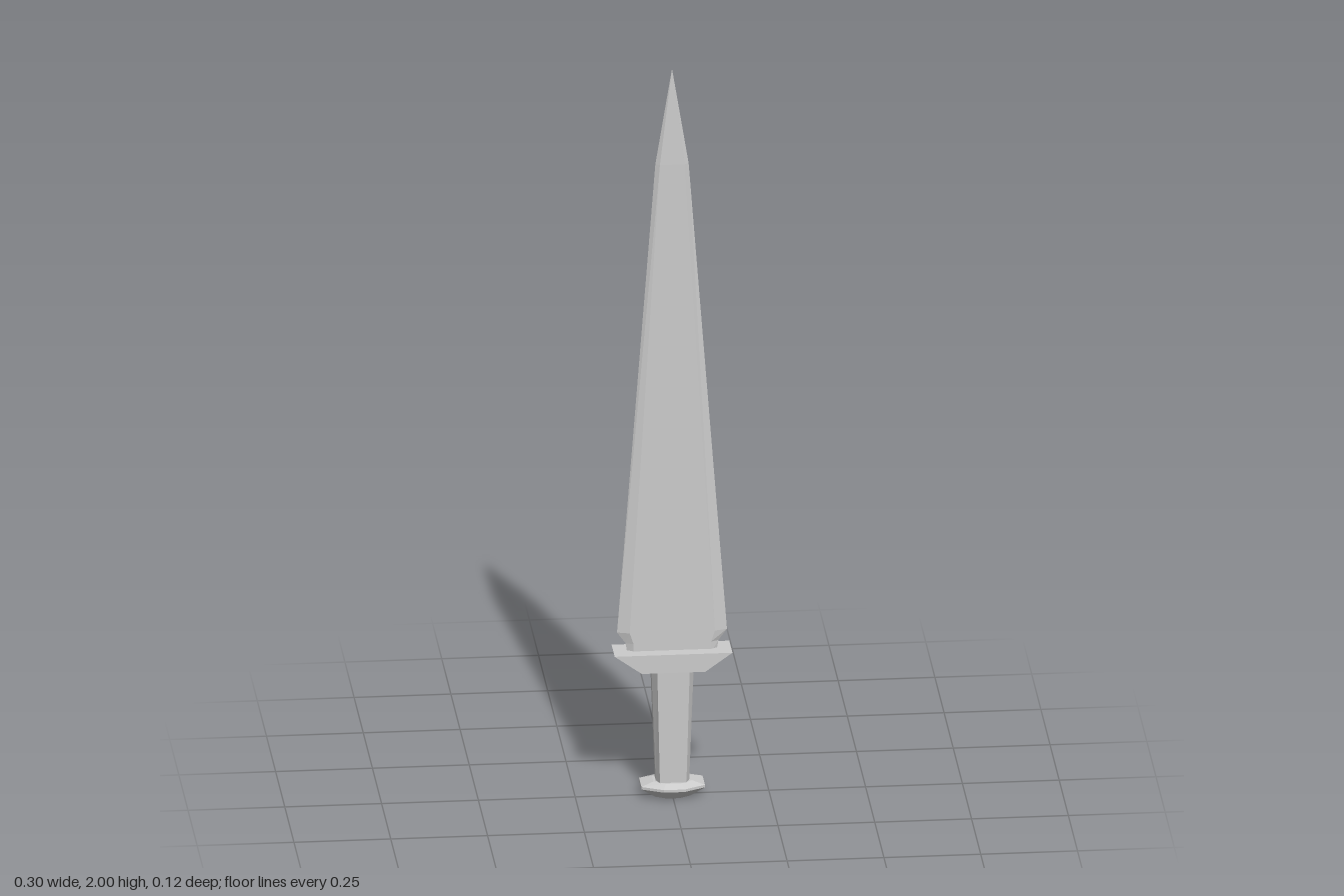
import * as THREE from 'three';

const material = new THREE.MeshStandardMaterial({ color: 0xcccccc, flatShading: true });

// Faceted solid through a stack of rings; each ring is { y, points: [[x, z], ...] }
function loft(name, rings) {
  const positions = [];
  const n = rings[0].points.length;
  const vertex = (ring, i) => [ring.points[i % n][0], ring.y, ring.points[i % n][1]];
  const triangle = (a, b, c) => positions.push(...a, ...b, ...c);
  for (let r = 0; r < rings.length - 1; r++) {
    for (let i = 0; i < n; i++) {
      const a = vertex(rings[r], i), b = vertex(rings[r], i + 1);
      const c = vertex(rings[r + 1], i), d = vertex(rings[r + 1], i + 1);
      triangle(a, c, b);
      triangle(b, c, d);
    }
  }
  const bottom = rings[0], top = rings[rings.length - 1];
  for (let i = 1; i < n - 1; i++) {
    triangle(vertex(bottom, 0), vertex(bottom, i), vertex(bottom, i + 1));
    triangle(vertex(top, 0), vertex(top, i + 1), vertex(top, i));
  }
  const geometry = new THREE.BufferGeometry();
  geometry.setAttribute('position', new THREE.Float32BufferAttribute(positions, 3));
  geometry.computeVertexNormals();
  const mesh = new THREE.Mesh(geometry, material);
  mesh.name = name;
  return mesh;
}

// Rectangle with chamfered corners: half sizes x, z and half lengths of the flats
const octagon = (y, x, z, flatX, flatZ) => ({
  y,
  points: [[x, -flatZ], [x, flatZ], [flatX, z], [-flatX, z],
    [-x, flatZ], [-x, -flatZ], [-flatX, -z], [flatX, -z]],
});

// Flat blade section with a sharp edge on each side
const bladeSection = (y, edge, flat, z) => ({
  y,
  points: [[edge, 0], [flat, z], [-flat, z], [-edge, 0], [-flat, -z], [flat, -z]],
});

export function createModel() {
  const sword = new THREE.Group();
  sword.name = 'sword';

  // Pommel: shallow base, wide rim, bevelled top
  sword.add(loft('pommel', [
    octagon(0, 0.045, 0.034, 0.016, 0.018),
    octagon(0.027, 0.082, 0.061, 0.027, 0.033),
    octagon(0.034, 0.082, 0.061, 0.027, 0.033),
    octagon(0.043, 0.05, 0.04, 0.02, 0.02),
  ]));

  // Grip, widening towards the guard
  sword.add(loft('grip', [
    octagon(0.035, 0.043, 0.033, 0.034, 0.013),
    octagon(0.36, 0.055, 0.041, 0.042, 0.016),
  ]));

  // Guard: trapezoid with a flat top
  const rectangle = (y, x, z) => ({ y, points: [[x, -z], [x, z], [-x, z], [-x, -z]] });
  sword.add(loft('guard', [
    rectangle(0.35, 0.082, 0.043),
    rectangle(0.4, 0.152, 0.043),
  ]));

  // Blade: narrow root, broad shoulders, long taper and a sharp point
  sword.add(loft('blade', [
    bladeSection(0.39, 0.115, 0.1, 0.01),
    bladeSection(0.42, 0.12, 0.1, 0.01),
    bladeSection(0.45, 0.142, 0.11, 0.01),
    bladeSection(1.74, 0.043, 0.032, 0.008),
    bladeSection(2, 0.0004, 0.0002, 0.0003),
  ]));

  return sword;
}
